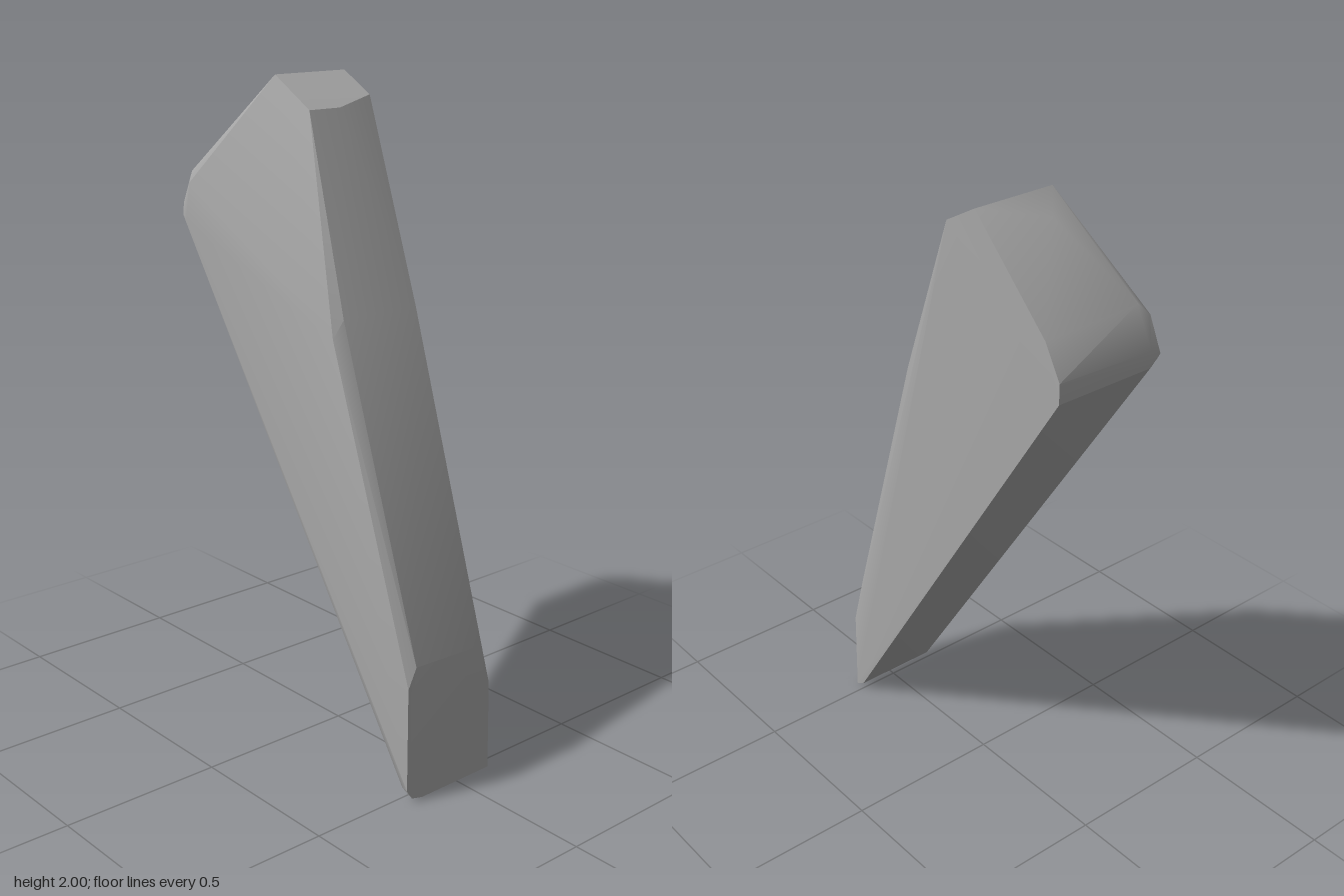
import * as THREE from 'three';
import { ConvexGeometry } from 'three/addons/geometries/ConvexGeometry.js';
import { toCreasedNormals } from 'three/addons/utils/BufferGeometryUtils.js';

export function createModel() {
  const group = new THREE.Group();
  group.name = 'rockShard';
  const stone = new THREE.MeshStandardMaterial({ color: 0xa8a8a8 });
  stone.name = 'grey stone';

  // Corners of the leaning, faceted shard
  const corners = [
    // crown
    [-0.205, 2, -0.2], [-0.205, 2, 0.065], [-0.05, 1.91, 0.065], [-0.05, 1.91, -0.05],
    [-0.09, 1.935, -0.2], [-0.28, 1.95, 0],
    // upper shoulder
    [-0.48, 1.73, -0.197], [-0.475, 1.735, 0.13], [-0.49, 1.70, 0.165], [-0.46, 1.67, 0.198],
    // lower shoulder
    [-0.535, 1.63, -0.195], [-0.535, 1.57, -0.195], [-0.535, 1.62, 0.13], [-0.535, 1.57, 0.13],
    [-0.53, 1.60, 0.17], [-0.5, 1.57, 0.195], [-0.48, 1.55, 0.2],
    // leaning outer edge
    [0.21, 1.36, -0.115], [0.21, 1.36, 0.16], [0.21, 1.31, 0.2],
    [0.535, 0.41, -0.09], [0.535, 0.42, 0.17], [0.535, 0.36, 0.2], [0.535, 0.28, -0.125],
    // narrow foot
    [0.535, 0, -0.13], [0.535, 0, 0.14], [0.535, 0.01, 0.18], [0.535, 0.04, 0.2],
    [0.5, 0.02, -0.13], [0.5, 0.02, 0.15], [0.51, 0.04, 0.195],
  ].map((p) => new THREE.Vector3(...p));

  const shard = new THREE.Mesh(toCreasedNormals(new ConvexGeometry(corners), 0.5), stone);
  shard.name = 'shard';
  group.add(shard);
  return group;
}
